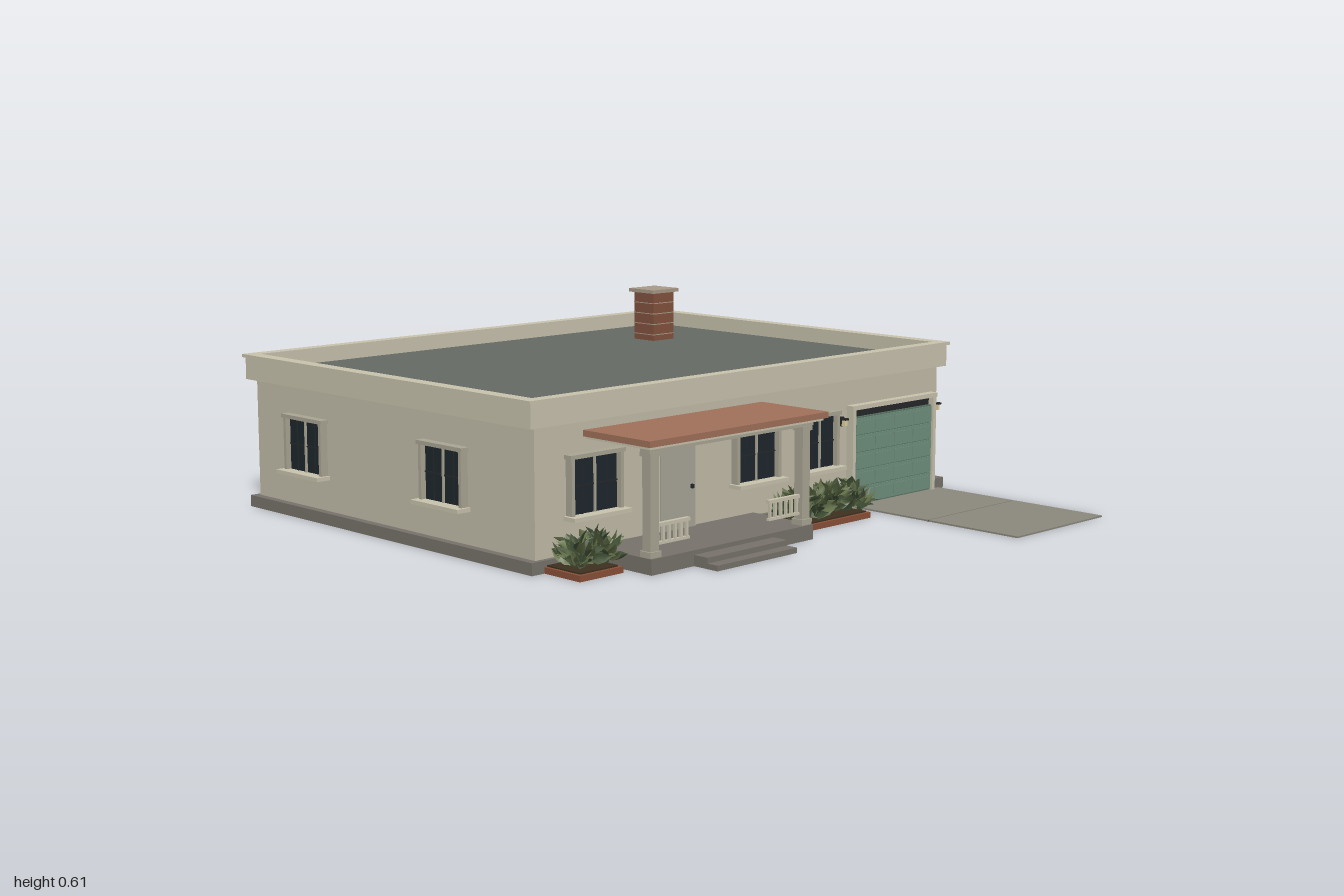
import * as THREE from 'three';
import { mergeGeometries } from 'three/addons/utils/BufferGeometryUtils.js';

const mat = (color, side = THREE.FrontSide) => new THREE.MeshStandardMaterial({ color, side });
const M = {
  wall: mat(0xc2bda9), trim: mat(0xc9c3ae), base: mat(0x77736b), roof: mat(0x656b64),
  concrete: mat(0x8b887c), tile: mat(0xa0705a), brick: mat(0x82523f), mortar: mat(0xa89a88),
  frame: mat(0xaaa695), glass: mat(0x1d272d), door: mat(0xa9a698), green: mat(0x6f8f7d),
  greenDark: mat(0x587364), dark: mat(0x24272a), planter: mat(0x8a5138), soil: mat(0x3d3020),
  lamp: mat(0xe0d2a0),
  leafA: mat(0x66734a, THREE.DoubleSide), leafB: mat(0x46563a, THREE.DoubleSide),
};

function seeded(seed) {
  return () => (seed = (seed * 16807) % 2147483647) / 2147483647;
}

function group(name, parent) {
  const g = new THREE.Group();
  g.name = name;
  parent.add(g);
  return g;
}

// Box given by its limits on each axis
function box(parent, name, m, x0, x1, y0, y1, z0, z1) {
  const mesh = new THREE.Mesh(new THREE.BoxGeometry(x1 - x0, y1 - y0, z1 - z0), m);
  mesh.position.set((x0 + x1) / 2, (y0 + y1) / 2, (z0 + z1) / 2);
  mesh.name = name;
  parent.add(mesh);
  return mesh;
}

// Rectangular ring lying flat, from y0 to y1, around the house centre
function ring(parent, name, m, hx, hz, ix, iz, y0, y1) {
  const rect = (P, a, b) => {
    const p = new P();
    p.moveTo(-a, -b); p.lineTo(a, -b); p.lineTo(a, b); p.lineTo(-a, b); p.closePath();
    return p;
  };
  const s = rect(THREE.Shape, hx, hz);
  s.holes.push(rect(THREE.Path, ix, iz));
  const geo = new THREE.ExtrudeGeometry(s, { depth: y1 - y0, bevelEnabled: false });
  geo.rotateX(-Math.PI / 2);
  const mesh = new THREE.Mesh(geo, m);
  mesh.position.set(0, y0, -0.3125);
  mesh.name = name;
  parent.add(mesh);
}

// Framed window with four panes and a sill; faces +z with the wall at z = 0
function makeWindow(parent, name, w, x, z, angle = 0) {
  const g = group(name, parent);
  const h = w / 2, y0 = 0.145, y1 = 0.305, f = 0.012, ym = (y0 + y1) / 2;
  box(g, 'glass', M.glass, -h, h, y0, y1, -0.01, 0.008);
  for (const s of [-1, 1]) {
    box(g, 'jamb', M.frame, s * h - f / 2, s * h + f / 2, y0, y1, -0.01, 0.025);
  }
  box(g, 'head', M.frame, -h - f, h + f, y1, y1 + f, -0.01, 0.028);
  box(g, 'sill', M.trim, -h - 0.016, h + 0.016, y0 - f, y0, -0.01, 0.048);
  box(g, 'mullion', M.frame, -0.003, 0.003, y0, y1, 0, 0.014);
  box(g, 'crossBar', M.dark, -h, h, ym - 0.002, ym + 0.002, 0, 0.011);
  for (const s of [-1, 1]) {
    box(g, 'paneBar', M.dark, s * h / 2 - 0.0015, s * h / 2 + 0.0015, y0, y1, 0, 0.011);
  }
  g.position.set(x, 0, z);
  g.rotation.y = angle;
}

// Folded pointed leaf growing along +y
function leafGeometry() {
  const g = new THREE.PlaneGeometry(1, 1, 2, 3);
  const p = g.attributes.position;
  const widths = [0.04, 0.46, 0.4, 0.0];
  for (let i = 0; i < p.count; i++) {
    const t = p.getY(i) + 0.5;
    const side = Math.sign(Math.round(p.getX(i) * 2));
    const w = widths[Math.round(t * 3)];
    p.setXYZ(i, side * w * 0.5, t, Math.abs(side) * w * 0.3 - t * t * 0.2);
  }
  g.computeVertexNormals();
  return g;
}

function makeBush(parent, x, z, seed) {
  const rnd = seeded(seed);
  const g = group('bush', parent);
  const sets = [[], []];
  const base = leafGeometry();
  const up = new THREE.Vector3(0, 1, 0);
  for (let i = 0; i < 75; i++) {
    const a = i * 2.4, tilt = 0.15 + 1.15 * rnd();
    const dir = new THREE.Vector3(Math.sin(tilt) * Math.cos(a), Math.cos(tilt), Math.sin(tilt) * Math.sin(a));
    const r = 0.012 + 0.03 * rnd(), s = 0.045 + 0.018 * rnd();
    const q = new THREE.Quaternion().setFromUnitVectors(up, dir)
      .multiply(new THREE.Quaternion().setFromAxisAngle(up, rnd() * 6.28));
    const pos = new THREE.Vector3(dir.x * r, 0.018 + rnd() * 0.05 + dir.y * r * 0.5, dir.z * r);
    const m4 = new THREE.Matrix4().compose(pos, q, new THREE.Vector3(s, s, s));
    sets[i % 2].push(base.clone().applyMatrix4(m4));
  }
  sets.forEach((list, i) => {
    const mesh = new THREE.Mesh(mergeGeometries(list), i ? M.leafB : M.leafA);
    mesh.name = 'leaves';
    g.add(mesh);
  });
  g.position.set(x, 0, z);
}

function makePlanter(parent, x0, x1, bushes) {
  const g = group('planter', parent);
  box(g, 'planterEdge', M.planter, x0, x1, 0, 0.018, 0.36, 0.505);
  box(g, 'soil', M.soil, x0 + 0.01, x1 - 0.01, 0.005, 0.022, 0.36, 0.495);
  bushes.forEach((x, i) => makeBush(g, x, 0.45, 101 + 977 * i + Math.round(Math.abs(x) * 1000)));
}

function makePorch(parent) {
  const g = group('porch', parent);
  box(g, 'porchFloor', M.base, -0.66, 0.0, 0, 0.045, 0.345, 0.585);
  box(g, 'upperStep', M.base, -0.495, -0.17, 0, 0.032, 0.585, 0.637);
  box(g, 'lowerStep', M.base, -0.495, -0.17, 0, 0.016, 0.637, 0.675);
  box(g, 'porchRoof', M.tile, -0.69, 0.035, 0.36, 0.378, 0.345, 0.61);
  box(g, 'roofEdge', M.trim, -0.68, 0.025, 0.352, 0.36, 0.345, 0.6);
  box(g, 'beam', M.frame, -0.66, 0.005, 0.338, 0.352, 0.54, 0.578);
  for (const x of [-0.637, -0.02]) {
    box(g, 'column', M.frame, x - 0.016, x + 0.016, 0.045, 0.338, 0.542, 0.574);
    box(g, 'columnBase', M.frame, x - 0.021, x + 0.021, 0.045, 0.062, 0.537, 0.579);
    box(g, 'columnCap', M.frame, x - 0.021, x + 0.021, 0.325, 0.338, 0.537, 0.579);
  }
  for (const [x0, x1] of [[-0.62, -0.49], [-0.166, -0.036]]) {
    const r = group('railing', g);
    box(r, 'topRail', M.trim, x0, x1, 0.126, 0.136, 0.551, 0.565);
    box(r, 'bottomRail', M.trim, x0, x1, 0.075, 0.083, 0.553, 0.563);
    for (let i = 0; i < 6; i++) {
      const x = x0 + 0.008 + i * 0.0228;
      box(r, 'baluster', M.trim, x - 0.004, x + 0.004, 0.083, 0.126, 0.554, 0.562);
    }
  }
}

function makeGarage(parent) {
  const g = group('garage', parent);
  box(g, 'garageDoor', M.greenDark, 0.435, 0.825, 0.005, 0.285, 0.33, 0.361);
  box(g, 'garageShadowGap', M.dark, 0.435, 0.825, 0.285, 0.312, 0.33, 0.352);
  for (let r = 0; r < 5; r++) {
    const y = 0.009 + r * 0.055;
    box(g, 'doorSection', M.green, 0.437, 0.823, y, y + 0.052, 0.355, 0.364);
    for (let c = 0; c < 4; c++) {
      const x = 0.448 + c * 0.0935;
      box(g, 'doorPanel', M.green, x, x + 0.083, y + 0.009, y + 0.043, 0.36, 0.3665);
    }
  }
  for (const x of [0.425, 0.823]) box(g, 'garageJamb', M.trim, x, x + 0.014, 0, 0.312, 0.34, 0.372);
  box(g, 'garageHead', M.trim, 0.422, 0.84, 0.31, 0.324, 0.34, 0.374);
  for (const [z0, z1] of [[0.36, 0.664], [0.669, 1]]) {
    box(g, 'driveway', M.concrete, 0.437, 0.87, 0, 0.005, z0, z1);
  }
  box(g, 'drivewaySeam', M.dark, 0.437, 0.87, 0, 0.003, 0.664, 0.669);
}

function makeChimney(parent) {
  const g = group('chimney', parent);
  box(g, 'chimneyStack', M.brick, 0.497, 0.593, 0.405, 0.6, -0.69, -0.595);
  for (let i = 0; i < 4; i++) {
    const y = 0.455 + i * 0.036;
    box(g, 'mortarLine', M.mortar, 0.4962, 0.5938, y, y + 0.003, -0.6908, -0.5942);
  }
  box(g, 'chimneyCap', M.mortar, 0.484, 0.606, 0.6, 0.612, -0.702, -0.583);
}

export function createModel() {
  const house = new THREE.Group();
  house.name = 'house';

  // Main body and flat roof
  box(house, 'foundation', M.base, -0.895, 0.895, 0, 0.036, -0.985, 0.36);
  box(house, 'walls', M.wall, -0.87, 0.87, 0.036, 0.41, -0.968, 0.345);
  box(house, 'roof', M.roof, -0.87, 0.87, 0.41, 0.436, -0.96, 0.335);
  ring(house, 'parapet', M.trim, 0.897, 0.675, 0.862, 0.642, 0.405, 0.474);
  ring(house, 'parapetCap', M.trim, 0.905, 0.6825, 0.862, 0.642, 0.474, 0.484);
  makeChimney(house);

  // Windows on the front and both sides
  for (const [x, w] of [[-0.657, 0.185], [0, 0.18], [0.285, 0.145]]) {
    makeWindow(house, 'frontWindow', w, x, 0.345);
  }
  for (const z of [0.07, -0.595]) makeWindow(house, 'leftWindow', 0.18, 0.87, z, Math.PI / 2);
  for (const z of [-0.035, -0.7]) makeWindow(house, 'rightWindow', 0.18, -0.87, z, -Math.PI / 2);

  // Front door
  const door = group('frontDoor', house);
  box(door, 'doorFrame', M.trim, -0.407, -0.253, 0.045, 0.303, 0.34, 0.352);
  box(door, 'doorLeaf', M.door, -0.4, -0.26, 0.045, 0.297, 0.34, 0.357);
  box(door, 'doorHandle', M.dark, -0.281, -0.273, 0.16, 0.172, 0.355, 0.366);

  // Wall lamps
  for (const x of [-0.445, 0.398, 0.858]) {
    const lamp = group('wallLamp', house);
    box(lamp, 'lampBack', M.dark, x - 0.006, x + 0.006, 0.262, 0.292, 0.34, 0.352);
    box(lamp, 'lampGlass', M.lamp, x - 0.005, x + 0.005, 0.264, 0.282, 0.352, 0.366);
    box(lamp, 'lampTop', M.dark, x - 0.008, x + 0.008, 0.282, 0.288, 0.345, 0.37);
  }

  makePorch(house);
  makeGarage(house);
  makePlanter(house, -0.85, -0.69, [-0.805, -0.73]);
  makePlanter(house, 0.0, 0.355, [0.065, 0.15, 0.235, 0.325]);
  return house;
}
